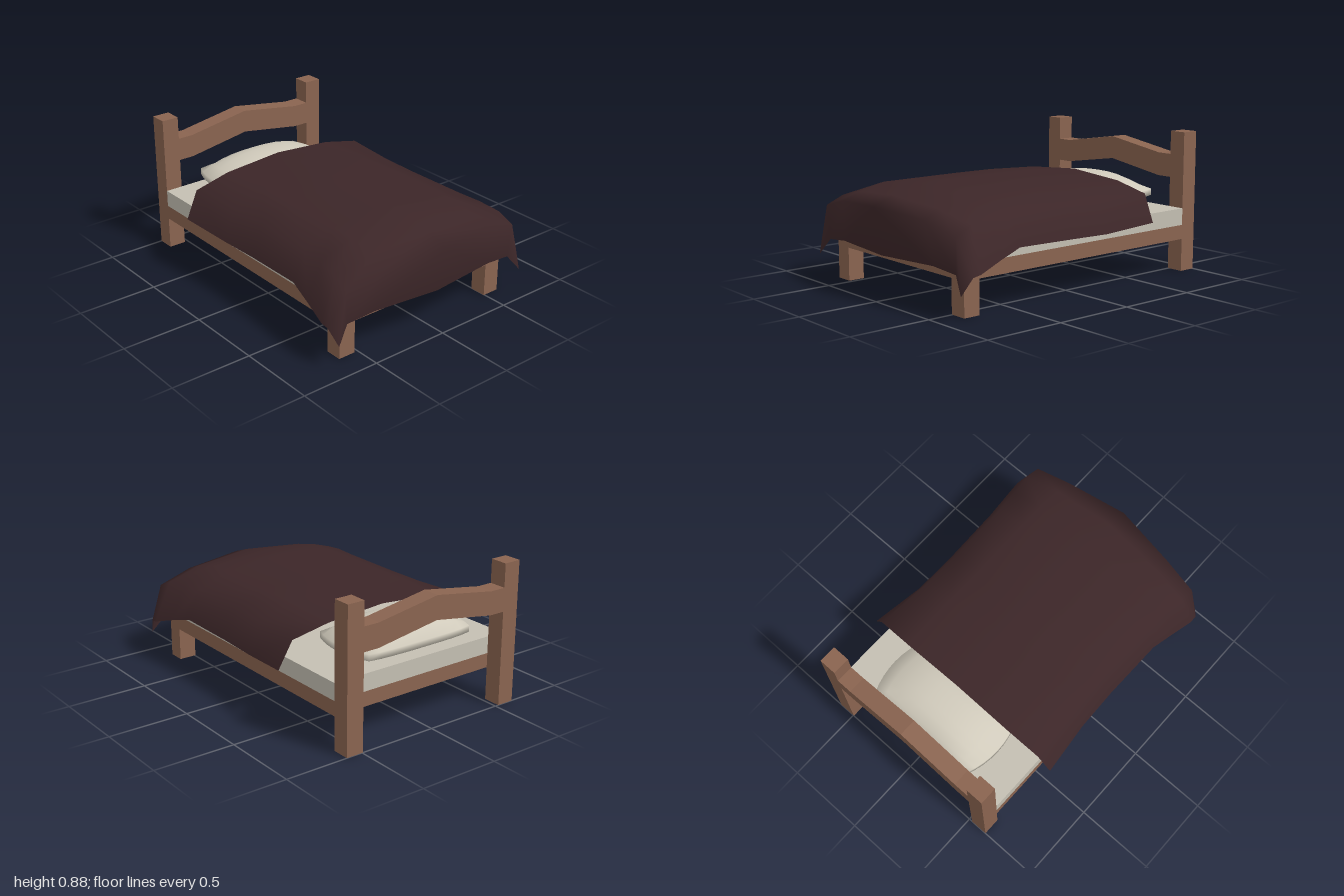
import * as THREE from 'three';
import { mergeVertices } from 'three/addons/utils/BufferGeometryUtils.js';

const CX = -0.014; // centre line of the bed frame
const HALF = 0.619; // half width of the frame
const POST = 0.11;

export function createModel() {
  const bed = new THREE.Group();
  bed.name = 'bed';
  const material = (name, color, side = THREE.FrontSide) => {
    const m = new THREE.MeshStandardMaterial({ color, side });
    m.name = name;
    return m;
  };
  const wood = material('brown wood', 0x8a6450);
  const sheet = material('mattress fabric', 0xc4bfb2);
  const linen = material('pillow linen', 0xd0cabb);
  const cloth = material('dark blanket cloth', 0x3c2628, THREE.DoubleSide);

  const add = (name, geometry, mat) => {
    const mesh = new THREE.Mesh(geometry, mat);
    mesh.name = name;
    bed.add(mesh);
    return mesh;
  };
  // box given by its lower and upper corners
  const box = (name, mat, [x0, y0, z0], [x1, y1, z1]) =>
    add(name, new THREE.BoxGeometry(x1 - x0, y1 - y0, z1 - z0), mat)
      .position.set((x0 + x1) / 2, (y0 + y1) / 2, (z0 + z1) / 2);

  // posts and legs
  for (const [side, x] of [['right', CX - HALF], ['left', CX + HALF - POST]]) {
    box(side + 'HeadPost', wood, [x, 0, -1], [x + POST, 0.875, -0.89]);
    box(side + 'FootLeg', wood, [x, 0, 0.735], [x + POST, 0.205, 0.84]);
  }

  // base and mattress
  box('bedBase', wood, [CX - HALF, 0.205, -0.89], [CX + HALF, 0.295, 0.84]);
  box('mattress', sheet, [CX - HALF, 0.295, -0.89], [CX + HALF, 0.4, 0.84]);

  // peaked headboard rail
  const inner = HALF - POST;
  const rail = new THREE.Shape([
    [-inner, 0.585], [-0.41, 0.585], [0, 0.65], [0.41, 0.585], [inner, 0.585],
    [inner, 0.73], [0.41, 0.73], [0, 0.795], [-0.41, 0.73], [-inner, 0.73],
  ].map(([x, y]) => new THREE.Vector2(x, y)));
  add('headboardRail', new THREE.ExtrudeGeometry(rail, { depth: 0.11, bevelEnabled: false }), wood)
    .position.set(CX, 0, -1);

  // pillow: a subdivided box puffed up towards its middle
  let pillow = new THREE.BoxGeometry(2, 2, 2, 10, 1, 8);
  pillow.deleteAttribute('uv');
  pillow.deleteAttribute('normal');
  pillow = mergeVertices(pillow);
  const p = pillow.attributes.position;
  for (let i = 0; i < p.count; i++) {
    const u = p.getX(i), s = p.getY(i), v = p.getZ(i);
    const puff = (1 - Math.abs(u) ** 2.5) * (1 - Math.abs(v) ** 3.2);
    const rise = s > 0 ? 0.02 + 0.1 * puff : -0.02 - 0.055 * puff;
    p.setXYZ(i, u * 0.415 * (1 - 0.11 * v * v), 0.475 + rise, v * 0.24 * (1 - 0.08 * u ** 4));
  }
  pillow.computeVertexNormals();
  add('pillow', pillow, linen).position.set(CX, 0, -0.65);

  // blanket: half sections [x, y, z] from centre to hem, head to foot
  const rows = [
    [[0, 0.615, -0.54], [0.39, 0.585, -0.54], [0.63, 0.535, -0.53], [0.715, 0.37, -0.515]],
    [[0, 0.64, -0.17], [0.39, 0.603, -0.17], [0.6, 0.53, -0.17], [0.676, 0.34, -0.17]],
    [[0, 0.645, 0.1], [0.39, 0.606, 0.1], [0.595, 0.53, 0.1], [0.67, 0.345, 0.1]],
    [[0, 0.645, 0.5], [0.39, 0.606, 0.5], [0.6, 0.53, 0.5], [0.678, 0.355, 0.5]],
    [[0, 0.645, 0.66], [0.39, 0.606, 0.66], [0.61, 0.53, 0.66], [0.705, 0.31, 0.66]],
    [[0, 0.595, 0.86], [0.39, 0.565, 0.83], [0.63, 0.51, 0.8], [0.733, 0.26, 0.82]],
    [[0, 0.545, 1.0], [0.4, 0.52, 0.94], [0.635, 0.46, 0.91], [0.73, 0.25, 0.87]],
    [[0, 0.26, 0.95], [0.44, 0.27, 0.915], [0.62, 0.25, 0.9], [0.7, 0.15, 0.93]],
  ];
  const points = [], faces = [];
  rows.forEach((half, r) => {
    const mirrored = half.slice(1).reverse().map(([x, y, z]) => [-x, y, z]);
    const row = [...mirrored, ...half];
    row.forEach(q => points.push(...q));
    if (r === 0) return;
    for (let c = 0; c < row.length - 1; c++) {
      const a = (r - 1) * row.length + c, b = a + 1, d = a + row.length, e = d + 1;
      if (c < 3) faces.push(a, d, b, b, d, e); // diagonals mirror about the centre
      else faces.push(a, d, e, a, e, b);
    }
  });
  const blanket = new THREE.BufferGeometry();
  blanket.setAttribute('position', new THREE.Float32BufferAttribute(points, 3));
  blanket.setIndex(faces);
  blanket.computeVertexNormals();
  add('blanket', blanket, cloth).position.x = -0.008;

  return bed;
}
